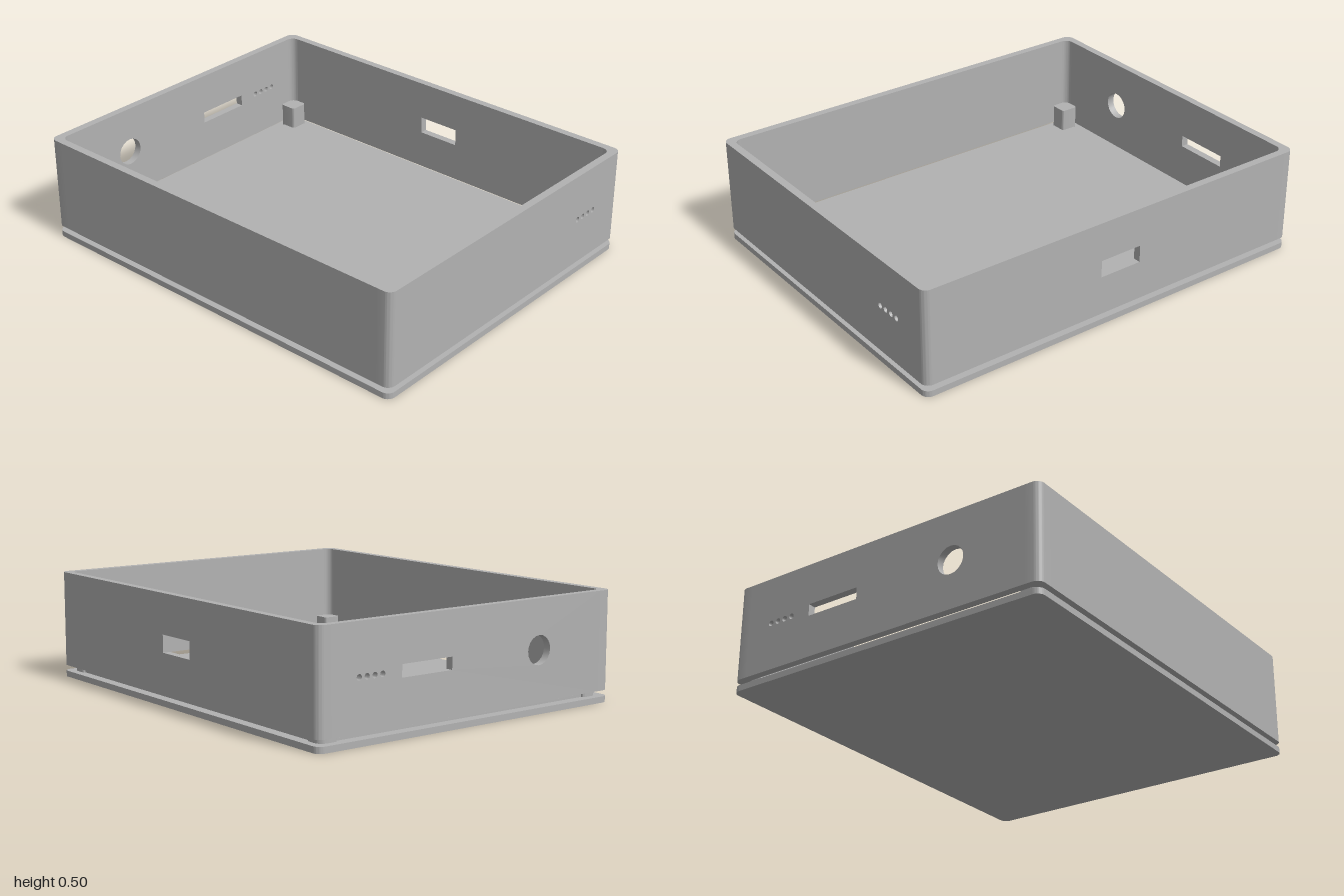
import * as THREE from 'three';
import { toCreasedNormals } from 'three/addons/utils/BufferGeometryUtils.js';

const HX = 1, HZ = 0.805;            // half width and half depth
const BASE = 0.055, TOP = 0.5;       // bottom and top of the walls
const T = 0.036, R = 0.036;          // wall thickness, corner radius
const C = T + R;                     // size of a corner piece
const HOLE_Y = 0.278;                // centre line of all openings

// Extrudes without bevel, smooth on arcs and sharp on edges
function extrude(shape, depth) {
  const geo = new THREE.ExtrudeGeometry(shape, { depth, bevelEnabled: false, curveSegments: 10 });
  return toCreasedNormals(geo, 0.5);
}

// Extrudes a plan shape upwards: shape y becomes -z
function extrudeUp(shape, depth) {
  return extrude(shape, depth).rotateX(-Math.PI / 2);
}

// Removes the triangles whose three corners all lie on a plane (hidden joints)
function dropPlane(geo, axis, value) {
  const p = geo.attributes.position;
  const n = geo.attributes.normal;
  const pos = [], nor = [];
  for (let i = 0; i < p.count; i += 3) {
    const on = [0, 1, 2].every((k) => Math.abs(p.getComponent(i + k, axis) - value) < 1e-5);
    if (on) continue;
    for (let k = i; k < i + 3; k++) {
      pos.push(p.getX(k), p.getY(k), p.getZ(k));
      nor.push(n.getX(k), n.getY(k), n.getZ(k));
    }
  }
  const out = new THREE.BufferGeometry();
  out.setAttribute('position', new THREE.Float32BufferAttribute(pos, 3));
  out.setAttribute('normal', new THREE.Float32BufferAttribute(nor, 3));
  return out;
}

// Rectangle from (x0,y0) to (x1,y1) with one radius per corner, starting lower left
function roundedRect(x0, y0, x1, y1, [a, b, c, d]) {
  const s = new THREE.Shape();
  const P = Math.PI;
  s.absarc(x0 + a, y0 + a, a, P, 1.5 * P);
  s.absarc(x1 - b, y0 + b, b, 1.5 * P, 2 * P);
  s.absarc(x1 - c, y1 - c, c, 0, 0.5 * P);
  s.absarc(x0 + d, y1 - d, d, 0.5 * P, P);
  return s;
}

function roundHole(u, r) {
  const h = new THREE.Path();
  h.absarc(u, HOLE_Y, r, 0, Math.PI * 2, true);
  return h;
}

function slotHole(u, w, h) {
  const [x, y] = [w / 2, h / 2];
  return new THREE.Path([[-x, -y], [-x, y], [x, y], [x, -y]]
    .map(([a, b]) => new THREE.Vector2(u + a, HOLE_Y + b)));
}

// Straight wall panel between two corner pieces, open at its ends
function wallGeometry(half, holes) {
  const e = half - C;
  const s = new THREE.Shape([[-e, BASE], [e, BASE], [e, TOP], [-e, TOP]]
    .map(([x, y]) => new THREE.Vector2(x, y)));
  s.holes.push(...holes);
  return dropPlane(dropPlane(extrude(s, T), 0, -e), 0, e);
}

export function createModel() {
  const model = new THREE.Group();
  model.name = 'enclosure';
  const grey = new THREE.MeshStandardMaterial({ color: 0xb2b2b2 });
  grey.name = 'grey plastic';

  const add = (name, geo, x, y, z, turn = 0) => {
    const mesh = new THREE.Mesh(geo, grey);
    mesh.name = name;
    mesh.position.set(x, y, z);
    mesh.rotation.y = turn;
    model.add(mesh);
  };

  // Base plate with a raised step that fits inside the walls
  add('basePlate', extrudeUp(roundedRect(-HX, -HZ, HX, HZ, [R, R, R, R]), 0.028), 0, 0, 0);
  add('baseStep', new THREE.BoxGeometry(1.9, 0.012, 1.515), 0, 0.034, 0);

  // Walls with their openings
  const vents = () => [0, 1, 2, 3].map((i) => roundHole(-0.487 - i * 0.0393, 0.013));
  add('frontWall', wallGeometry(HX, []), 0, 0, HZ - T);
  add('backWall', wallGeometry(HX, [slotHole(0, 0.21, 0.08)]), 0, 0, -HZ);
  add('leftWall', wallGeometry(HZ, vents()), HX, 0, 0, -Math.PI / 2);
  add('rightWall', wallGeometry(HZ, [...vents(), slotHole(-0.255, 0.265, 0.055), roundHole(0.37, 0.065)]),
    -HX + T, 0, 0, -Math.PI / 2);

  // Corner piece, rounded inside and outside, open where it meets the walls
  const s = new THREE.Shape();
  s.moveTo(R, 0);
  s.lineTo(C, 0);
  s.lineTo(C, T);
  s.absarc(C, C, R, 1.5 * Math.PI, Math.PI, true);
  s.lineTo(0, C);
  s.lineTo(0, R);
  s.absarc(R, R, R, Math.PI, 1.5 * Math.PI);
  const corner = dropPlane(dropPlane(extrudeUp(s, TOP - BASE), 0, C), 2, -C);

  // Post standing on the base plate in each corner
  const post = extrudeUp(roundedRect(T, T, 0.124, 0.121, [R, 0.012, 0.012, 0.012]), 0.122);

  [[-1, 1], [1, 1], [1, -1], [-1, -1]].forEach(([sx, sz], i) => {
    add('wallCorner', corner, sx * HX, BASE, sz * HZ, i * Math.PI / 2);
    add('cornerPost', post, sx * HX, 0.028, sz * HZ, i * Math.PI / 2);
  });

  return model;
}
